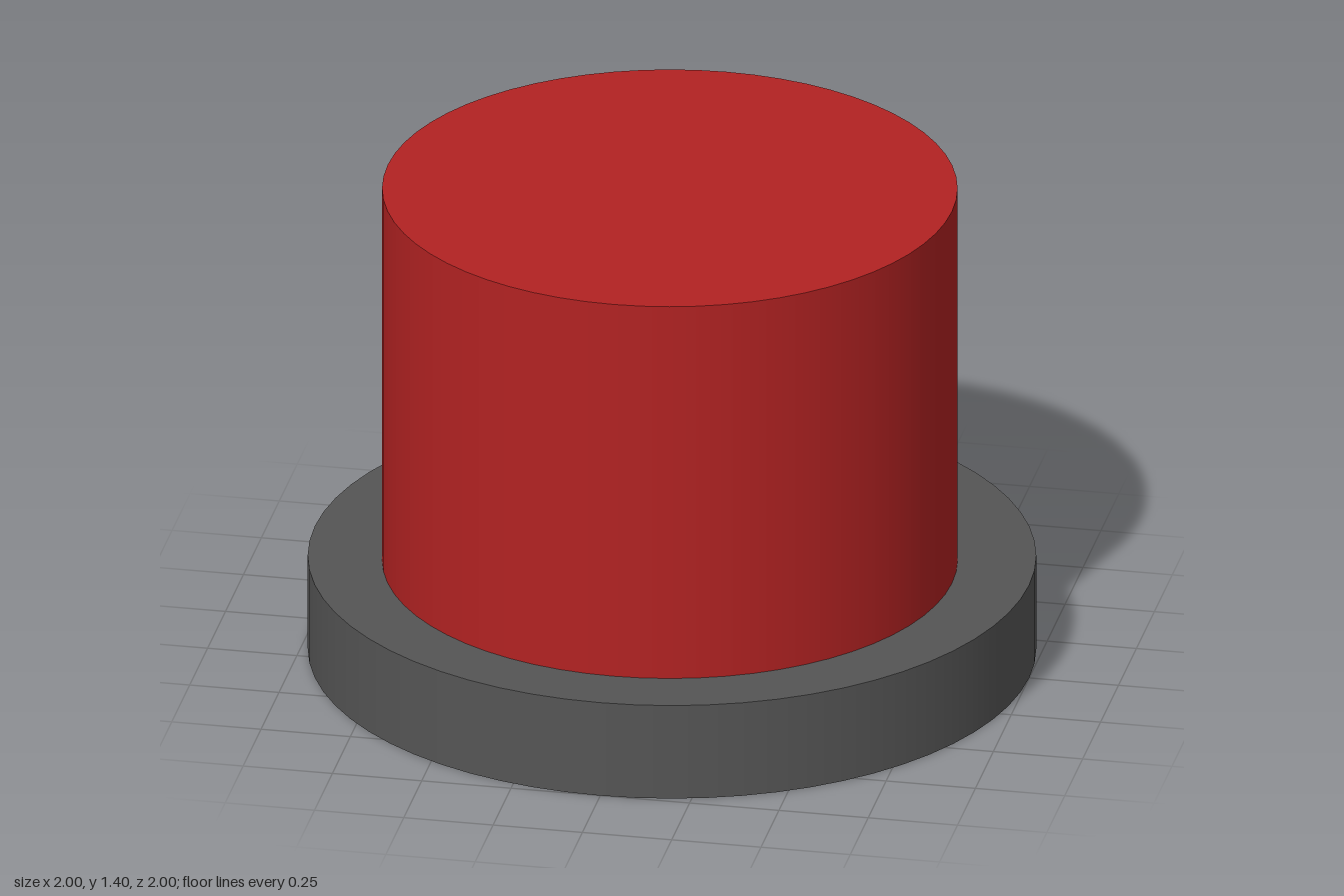
import * as THREE from 'three';

const SEGMENTS = 64;

// Solid upright disc standing on height y
function disc(name, radius, height, y, z, color) {
  const mesh = new THREE.Mesh(
    new THREE.CylinderGeometry(radius, radius, height, SEGMENTS),
    new THREE.MeshStandardMaterial({ color })
  );
  mesh.name = name;
  mesh.position.set(0, y + height / 2, z);
  return mesh;
}

export function createModel() {
  const model = new THREE.Group();
  model.name = 'pushButton';

  // Wide dark collar
  model.add(disc('base', 1, 0.28, 0, 0, 0x555555));

  // Tall red cap, set slightly forward and sunk a little into the collar
  model.add(disc('buttonCap', 0.79, 1.2, 0.2, 0.03, 0xb22222));

  return model;
}
